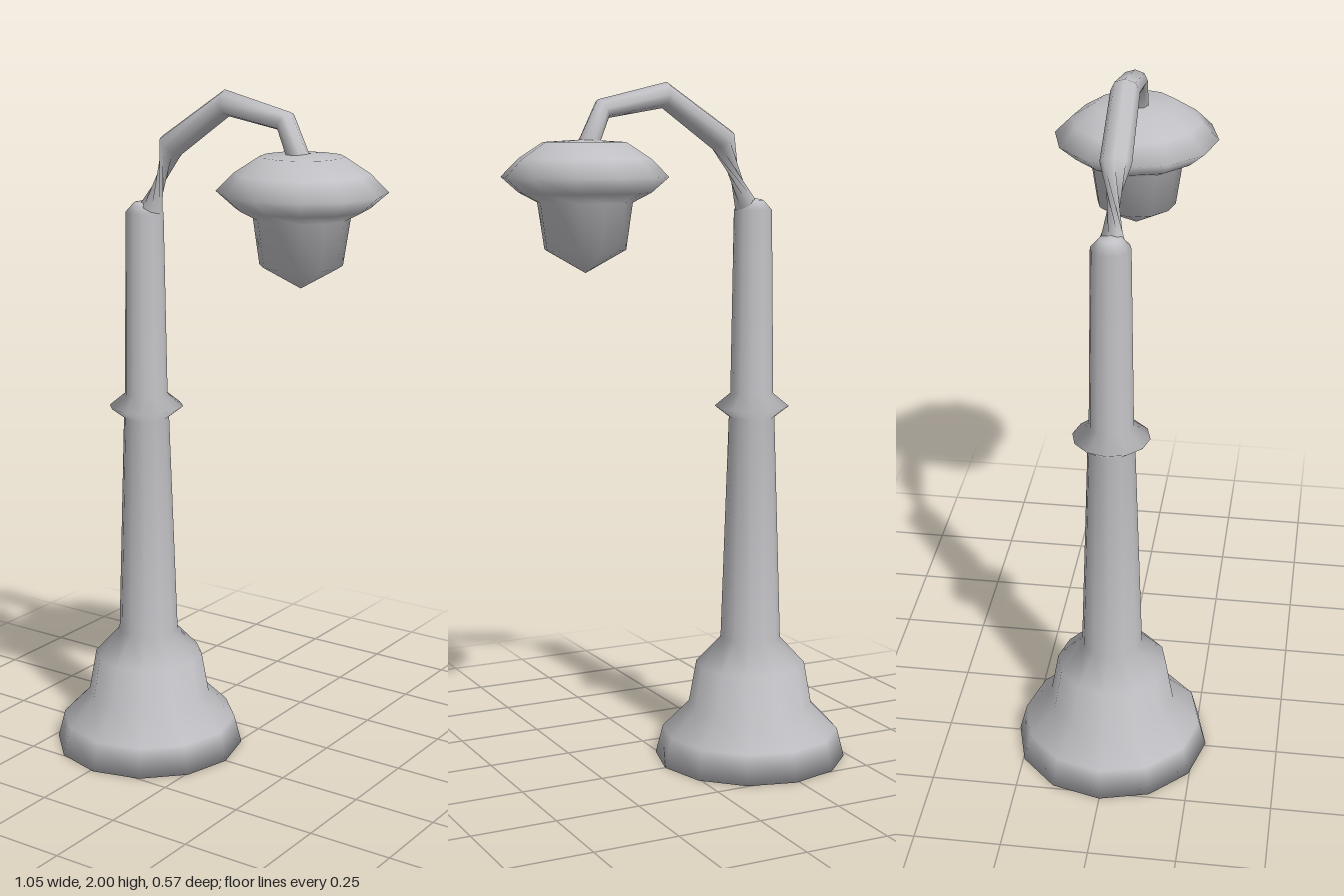
import * as THREE from 'three';

const metal = new THREE.MeshStandardMaterial({ color: 0xc0c0c4 });
metal.name = 'grey metal';

// Twelve-sided turned part from [radius, height] pairs, bottom to top
function turned(name, x, profile) {
  const points = profile.map(([r, y]) => new THREE.Vector2(r, y));
  const mesh = new THREE.Mesh(new THREE.LatheGeometry(points, 12), metal);
  mesh.name = name;
  mesh.position.x = x;
  return mesh;
}

// Bent tube through rings of { x, y, r, tilt, twist }; tilt is the path direction in the xy plane
function bentTube(name, rings, sides) {
  const positions = [], index = [];
  rings.forEach(({ x, y, r, rz, tilt, twist = 0 }, i) => {
    for (let j = 0; j < sides; j++) {
      const a = (j / sides) * Math.PI * 2 + twist;
      const n = r * Math.cos(a);
      positions.push(x - Math.sin(tilt) * n, y + Math.cos(tilt) * n, rz * Math.sin(a));
      if (i === 0) continue;
      const k = (j + 1) % sides, p = (i - 1) * sides, q = i * sides;
      index.push(p + j, p + k, q + j, p + k, q + k, q + j);
    }
  });
  const geometry = new THREE.BufferGeometry();
  geometry.setAttribute('position', new THREE.Float32BufferAttribute(positions, 3));
  geometry.setIndex(index);
  geometry.computeVertexNormals();
  const mesh = new THREE.Mesh(geometry, metal);
  mesh.name = name;
  return mesh;
}

export function createModel() {
  const group = new THREE.Group();
  group.name = 'streetLamp';

  // Stepped foot, tapering post, collar and domed cap
  group.add(turned('post', -0.24, [
    [0, 0], [0.285, 0], [0.263, 0.085], [0.184, 0.165], [0.162, 0.29], [0.089, 0.368],
    [0.067, 1.035], [0.109, 1.067], [0.063, 1.105], [0.055, 1.64], [0.03, 1.668], [0, 1.675],
  ]));

  // Curved arm, pinched by a twist where it leaves the post
  group.add(bentTube('arm', [
    { x: -0.215, y: 1.655, r: 0.034, rz: 0.034, tilt: 1.1, twist: 2.2 },
    { x: -0.14, y: 1.838, r: 0.04, rz: 0.043, tilt: 0.87 },
    { x: 0.045, y: 1.964, r: 0.037, rz: 0.04, tilt: 0.2 },
    { x: 0.235, y: 1.925, r: 0.029, rz: 0.037, tilt: -0.5 },
    { x: 0.28, y: 1.825, r: 0.03, rz: 0.035, tilt: -1.1 },
  ], 8));

  // Wide shade with the lantern body hanging below it
  group.add(turned('lantern', 0.29, [
    [0, 1.475], [0.114, 1.54], [0.133, 1.67], [0.185, 1.697], [0.234, 1.74],
    [0.184, 1.79], [0.115, 1.835], [0, 1.842],
  ]));

  return group;
}
